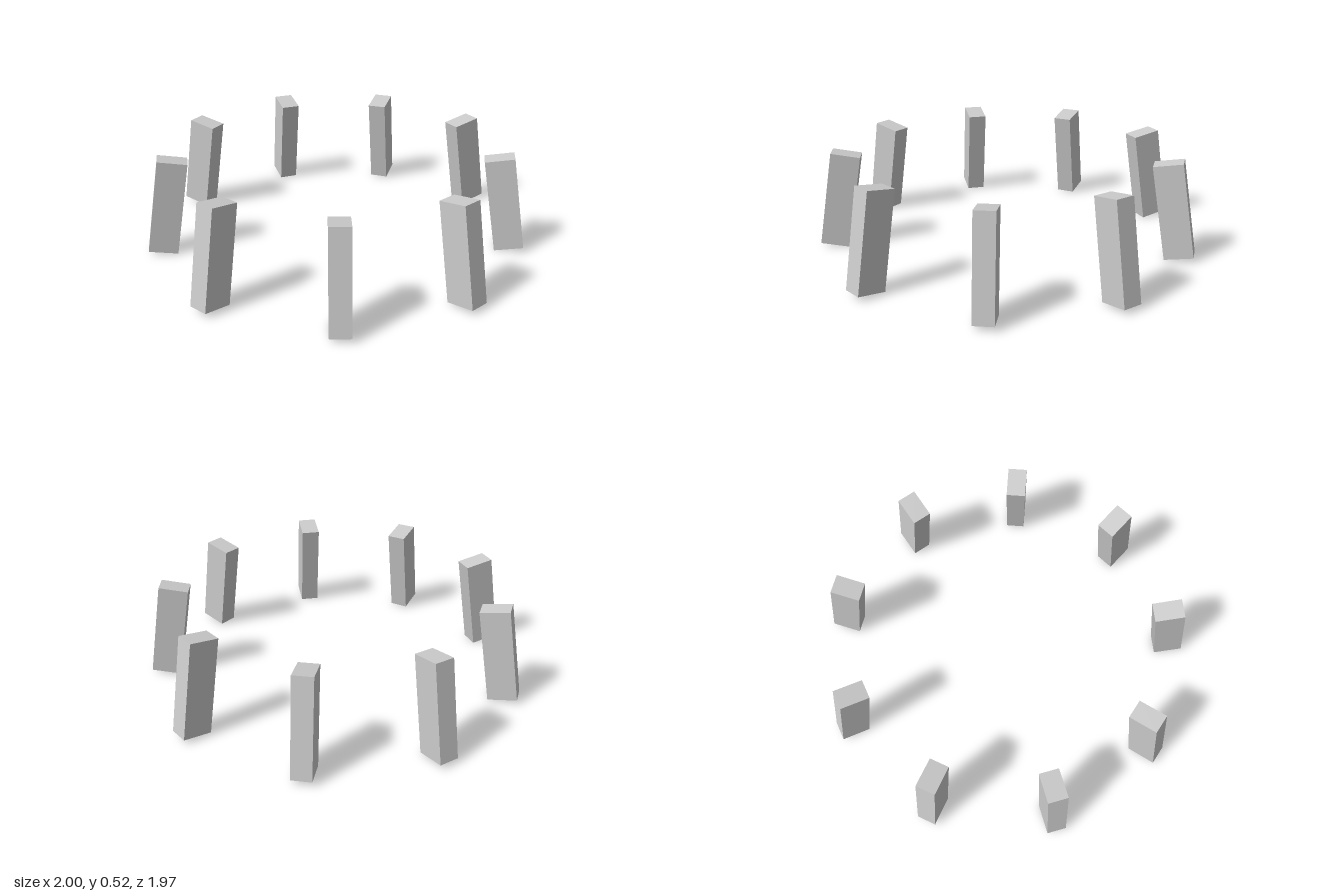
import * as THREE from 'three';

const COUNT = 9;
const WIDTH = 0.101, LENGTH = 0.506, DEPTH = 0.152;
const TILT = THREE.MathUtils.degToRad(10);
const RING_RADIUS = 0.887;

export function createModel() {
  const model = new THREE.Group();
  model.name = 'stoneCircle';

  const material = new THREE.MeshStandardMaterial({ color: 0xcccccc, flatShading: true });
  const geometry = new THREE.BoxGeometry(WIDTH, LENGTH, DEPTH);
  // Height of the centre so that the lowest tilted edge rests on the ground
  const centreY = (LENGTH * Math.cos(TILT) + DEPTH * Math.sin(TILT)) / 2;

  // Ring of pillars leaning inward, one of them exactly at the back
  const ring = new THREE.Group();
  ring.name = 'pillarRing';
  ring.position.z = 0.02;
  for (let i = 0; i < COUNT; i++) {
    const pivot = new THREE.Group();
    pivot.name = `pillarPivot${i + 1}`;
    pivot.rotation.y = Math.PI + (i * 2 * Math.PI) / COUNT;

    const pillar = new THREE.Mesh(geometry, material);
    pillar.name = `pillar${i + 1}`;
    pillar.position.set(0, centreY, RING_RADIUS);
    pillar.rotation.x = -TILT;
    pivot.add(pillar);
    ring.add(pivot);
  }
  model.add(ring);
  return model;
}
